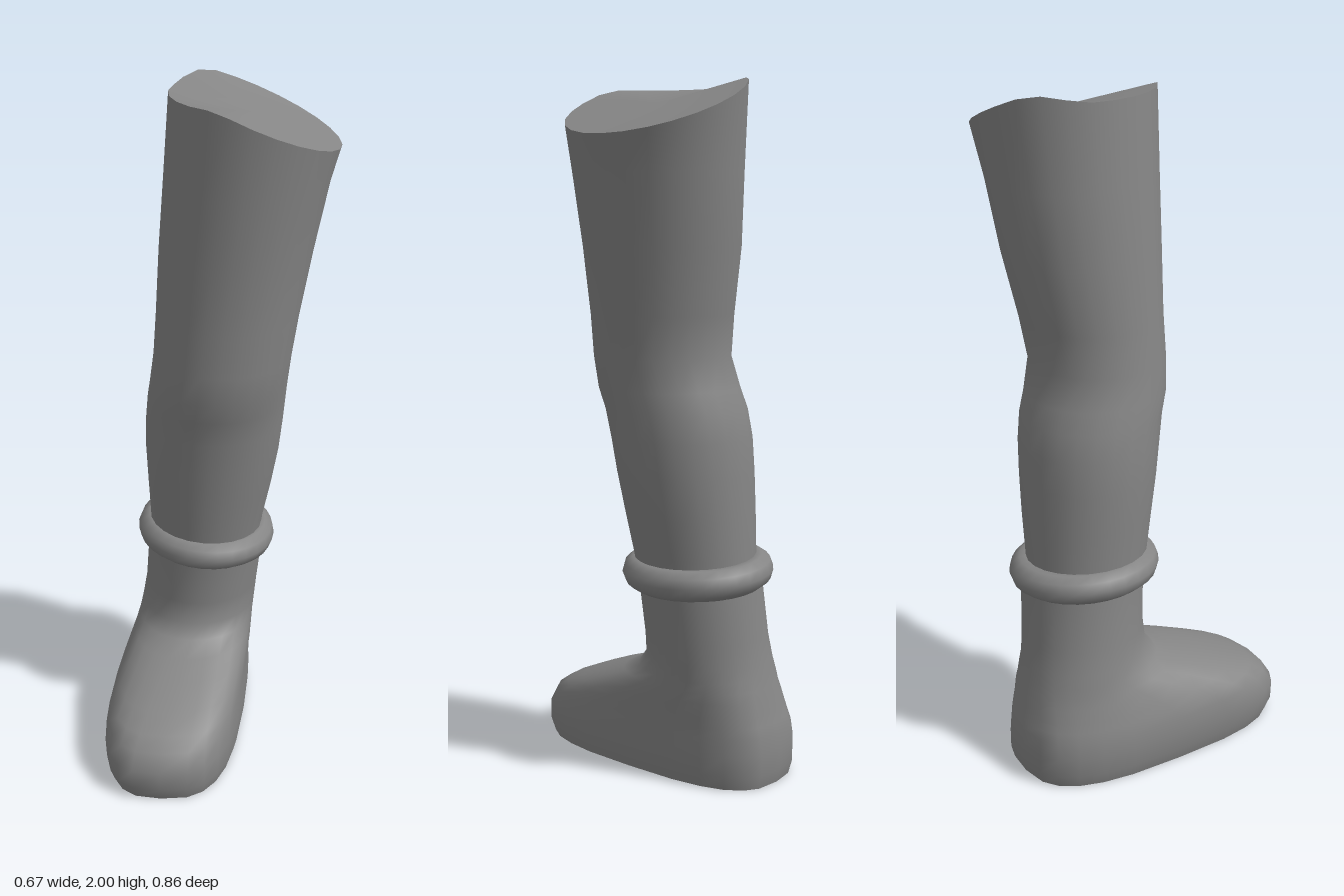
import * as THREE from 'three';

const SIDES = 24;

// One closed ring from [y, xMin, xMax, zBack, zFront, power, shear];
// power below 1 squares the oval, shear swings the toe sideways.
function ring([y, x0, x1, z0, z1, power = 1, shear = 0], lift) {
  const bend = (v) => Math.sign(v) * Math.abs(v) ** power;
  const points = [];
  for (let j = 0; j < SIDES; j++) {
    const a = (j / SIDES) * Math.PI * 2;
    const z = (z0 + z1) / 2 + ((z1 - z0) / 2) * bend(Math.cos(a));
    const x = (x0 + x1) / 2 + ((x1 - x0) / 2) * bend(Math.sin(a)) + shear * z;
    points.push(new THREE.Vector3(x, lift ? lift(x, z) : y, z));
  }
  return points;
}

// Smooth skin through a stack of rings, bottom to top
function loft(rings) {
  const index = [];
  for (let i = 0; i < rings.length - 1; i++) {
    for (let j = 0; j < SIDES; j++) {
      const k = (j + 1) % SIDES;
      const a = i * SIDES + j, b = i * SIDES + k;
      index.push(a, b, b + SIDES, a, b + SIDES, a + SIDES);
    }
  }
  const geometry = new THREE.BufferGeometry().setFromPoints(rings.flat());
  geometry.setIndex(index);
  geometry.computeVertexNormals();
  return geometry;
}

// Fan that closes a ring, facing up or down
function cap(points, up) {
  const centre = new THREE.Vector3();
  points.forEach((p) => centre.addScaledVector(p, 1 / SIDES));
  const index = [];
  for (let j = 0; j < SIDES; j++) {
    const k = (j + 1) % SIDES;
    index.push(SIDES, up ? j : k, up ? k : j);
  }
  const geometry = new THREE.BufferGeometry().setFromPoints([...points, centre]);
  geometry.setIndex(index);
  geometry.computeVertexNormals();
  return geometry;
}

export function createModel() {
  const group = new THREE.Group();
  const material = new THREE.MeshStandardMaterial({ color: 0x868686, side: THREE.DoubleSide });
  const add = (name, geometry) => {
    const mesh = new THREE.Mesh(geometry, material);
    mesh.name = name;
    group.add(mesh);
    return mesh;
  };

  // Boot: sole, toe, instep, ankle
  const boot = [
    [0, -0.312, 0.074, -0.415, 0.415, 0.68, -0.07],
    [0.04, -0.324, 0.084, -0.425, 0.43, 0.68, -0.07],
    [0.1, -0.327, 0.086, -0.425, 0.43, 0.68, -0.07],
    [0.15, -0.321, 0.085, -0.42, 0.4, 0.7, -0.07],
    [0.18, -0.312, 0.086, -0.413, 0.355, 0.72, -0.07],
    [0.21, -0.302, 0.088, -0.405, 0.285, 0.75, -0.065],
    [0.25, -0.286, 0.092, -0.398, 0.185, 0.81, -0.055],
    [0.28, -0.272, 0.095, -0.39, 0.1, 0.87, -0.04],
    [0.31, -0.259, 0.1, -0.385, 0.035, 0.93, -0.02],
    [0.35, -0.247, 0.108, -0.377, 0.003],
    [0.42, -0.235, 0.115, -0.367, 0],
    [0.55, -0.225, 0.13, -0.356, 0.008],
    [0.62, -0.222, 0.135, -0.35, 0.015],
  ].map((row) => ring(row));
  add('boot', loft(boot));
  add('sole', cap(boot[0], false));

  // Leg: calf, knee, thigh
  const leg = [
    [0.59, -0.213, 0.122, -0.335, 0.015],
    [0.66, -0.215, 0.132, -0.335, 0.028],
    [0.78, -0.22, 0.157, -0.334, 0.046],
    [0.9, -0.224, 0.178, -0.331, 0.065],
    [1.0, -0.221, 0.189, -0.327, 0.08],
    [1.08, -0.213, 0.196, -0.315, 0.095],
    [1.14, -0.203, 0.201, -0.295, 0.115],
    [1.23, -0.19, 0.211, -0.27, 0.121],
    [1.35, -0.182, 0.23, -0.287, 0.12],
    [1.54, -0.172, 0.266, -0.324, 0.127],
    [1.74, -0.157, 0.308, -0.348, 0.136],
  ].map((row) => ring(row));
  // Slanted cut at the top, with a small peak at the inner back
  const slant = (x, z) =>
    1.98 - 0.42 * Math.max(0, x) + (z < -0.2 ? Math.max(0, 0.02 - 0.25 * Math.abs(x + 0.066)) : 0);
  const top = ring([0, -0.14, 0.337, -0.375, 0.143], slant);
  add('leg', loft([...leg, top]));
  add('legTop', cap(top, true));

  // Rolled cuff around the ankle
  const cuffGeometry = new THREE.TorusGeometry(0.168, 0.044, 10, 28);
  cuffGeometry.rotateX(Math.PI / 2);
  cuffGeometry.scale(1, 1.05, 1.06);
  cuffGeometry.rotateZ(-0.08);
  add('cuff', cuffGeometry).position.set(-0.043, 0.608, -0.163);

  return group;
}
